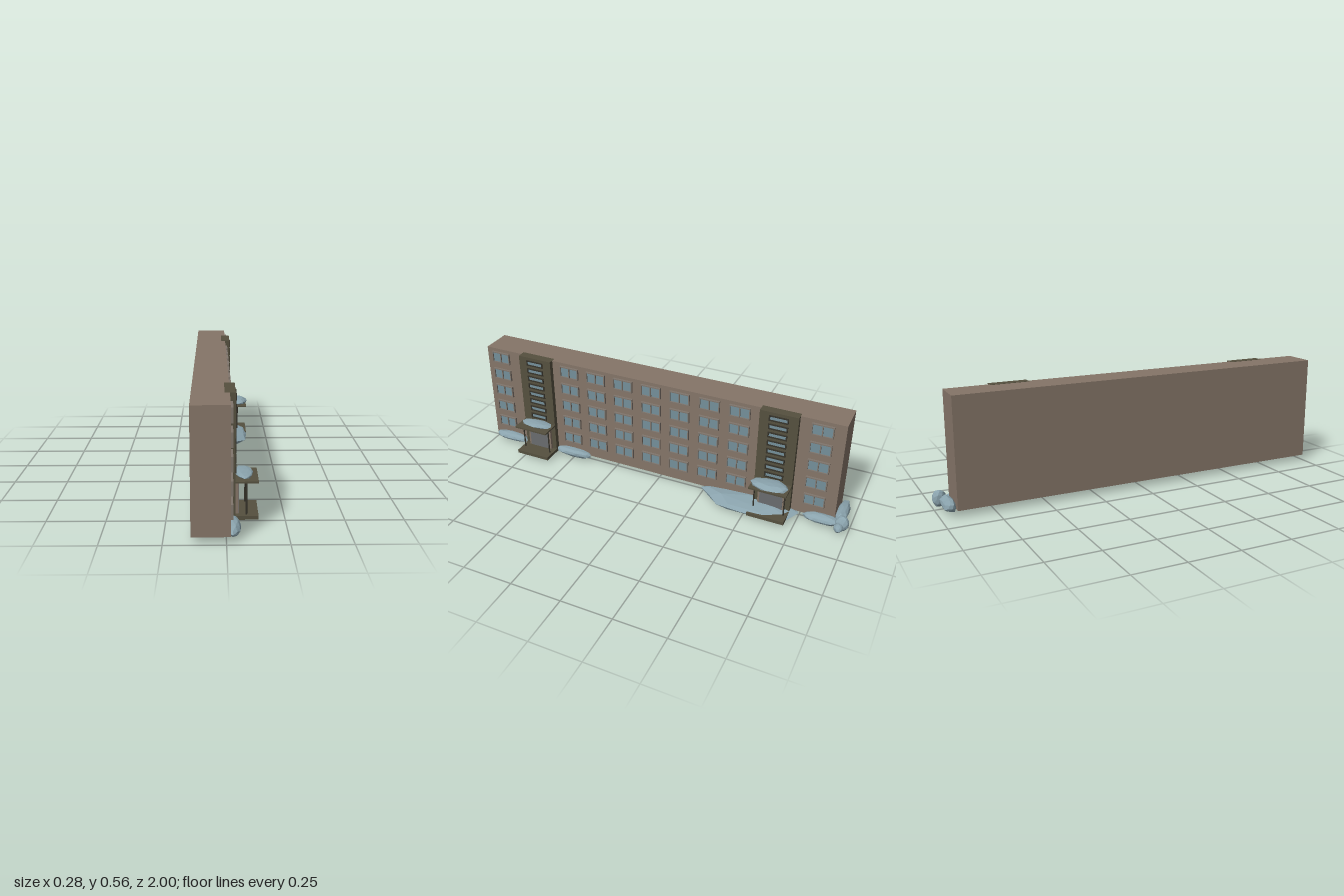
import * as THREE from 'three';

const mat = (color, extra = {}) => new THREE.MeshStandardMaterial({ color, ...extra });
const M = {
  wall: mat(0x857568), tower: mat(0x55503f), frame: mat(0x80766d), dark: mat(0x37342b),
  glass: mat(0x748f9a), door: mat(0x6a6c6e), snow: mat(0x8aa3ad, { flatShading: true }),
};

// Box given by its limits on each axis
function box(name, [x0, x1], [y0, y1], [z0, z1], material) {
  const m = new THREE.Mesh(new THREE.BoxGeometry(x1 - x0, y1 - y0, z1 - z0), material);
  m.position.set((x0 + x1) / 2, (y0 + y1) / 2, (z0 + z1) / 2);
  m.name = name;
  return m;
}

// Frame with a row of openings, glazed, facing +x and centred on its own origin
function makeWindow(name, w, h, depth, rim, panes, frameMat) {
  const g = new THREE.Group();
  g.name = name;
  const s = new THREE.Shape([[-w, -h], [w, -h], [w, h], [-w, h]].map(([a, b]) => new THREE.Vector2(a / 2, b / 2)));
  const pw = (w - rim * (panes + 1)) / panes;
  for (let i = 0; i < panes; i++) {
    const a = -w / 2 + rim + i * (pw + rim), b = h / 2 - rim;
    s.holes.push(new THREE.Path([[a, -b], [a, b], [a + pw, b], [a + pw, -b]].map(p => new THREE.Vector2(...p))));
  }
  const geo = new THREE.ExtrudeGeometry(s, { depth, bevelEnabled: false });
  geo.rotateY(Math.PI / 2);
  const frame = new THREE.Mesh(geo, frameMat);
  frame.name = 'windowFrame';
  const b = 0.002;
  g.add(frame, box('windowGlass', [0, depth * 0.4], [-h / 2 + b, h / 2 - b], [-w / 2 + b, w / 2 - b], M.glass));
  return g;
}

// Faceted snow lump; each corner is pushed in or out by a seeded amount
function snow(name, center, radii, seed) {
  const geo = new THREE.IcosahedronGeometry(1, 1);
  const p = geo.attributes.position, v = new THREE.Vector3();
  for (let i = 0; i < p.count; i++) {
    v.fromBufferAttribute(p, i);
    const n = Math.sin(Math.round(v.x * 50) * 12.9 + Math.round(v.y * 50) * 78.2 + Math.round(v.z * 50) * 37.7 + seed) * 43.7;
    v.multiplyScalar(0.87 + 0.16 * (n - Math.floor(n)));
    p.setXYZ(i, v.x * radii[0], v.y * radii[1], v.z * radii[2]);
  }
  geo.computeVertexNormals();
  const m = new THREE.Mesh(geo, M.snow);
  m.position.set(...center);
  m.name = name;
  return m;
}

// Stair tower with its entrance porch, centred on z = 0
function makeEntrance() {
  const g = new THREE.Group();
  g.name = 'entrance';
  const hw = 0.093;
  g.add(
    box('stairTower', [-0.005, 0.04], [0.02, 0.561], [-hw, hw], M.tower),
    box('porchSlab', [-0.005, 0.136], [0.02, 0.037], [-hw, hw], M.tower),
    box('canopy', [0.03, 0.136], [0.178, 0.186], [-hw, hw], M.tower),
    box('doorSurround', [0.03, 0.053], [0.037, 0.178], [-0.068, 0.068], M.wall),
    box('door', [0.04, 0.055], [0.037, 0.17], [-0.058, 0.058], M.door),
  );
  for (const s of [-1, 1]) {
    const post = new THREE.Mesh(new THREE.CylinderGeometry(0.0035, 0.0035, 0.142, 8), M.dark);
    post.position.set(0.086, 0.108, s * 0.076);
    post.name = 'porchPost';
    g.add(post);
  }
  // Column of narrow stairwell windows
  for (let i = 0; i < 8; i++) {
    const w = makeWindow('stairWindow', 0.094, 0.029, 0.006, 0.006, 1, M.dark);
    w.position.set(0.039, 0.531 - i * 0.0445, 0);
    g.add(w);
  }
  return g;
}

export function createModel() {
  const model = new THREE.Group();
  model.name = 'apartmentBlock';
  model.add(box('mainBlock', [-0.14, 0.016], [0.034, 0.56], [-0.925, 0.995], M.wall));

  // Five storeys of double windows
  for (const z of [0.911, 0.498, 0.345, 0.192, 0.038, -0.115, -0.27, -0.423, -0.818]) {
    for (let r = 0; r < 5; r++) {
      const w = makeWindow('window', 0.104, 0.061, 0.011, 0.005, 2, M.frame);
      w.position.set(0.0155, 0.1235 + r * 0.0972, z);
      model.add(w);
    }
  }

  for (const z of [0.69, -0.617]) {
    const e = makeEntrance();
    e.position.z = z;
    model.add(e);
  }

  // Snow on the canopies, along the front wall and at the end wall
  model.add(
    snow('canopySnow', [0.077, 0.195, 0.685], [0.04, 0.014, 0.09], 1),
    snow('canopySnow', [0.092, 0.198, -0.617], [0.053, 0.017, 0.095], 2),
    snow('snowBank', [0.025, 0.038, 0.89], [0.038, 0.026, 0.11], 3),
    snow('snowBank', [0.025, 0.038, 0.495], [0.036, 0.026, 0.11], 4),
    snow('largeSnowBank', [0.025, 0.029, -0.5], [0.121, 0.029, 0.262], 5),
    snow('snowBank', [0.03, 0.038, -0.868], [0.037, 0.026, 0.1], 6),
    snow('endSnowBank', [-0.055, 0.045, -0.948], [0.093, 0.034, 0.033], 7),
    snow('endSnowLump', [0.035, 0.045, -0.967], [0.03, 0.042, 0.035], 8),
    snow('endSnowLump', [0.07, 0.04, -0.957], [0.03, 0.022, 0.024], 9),
  );
  return model;
}
